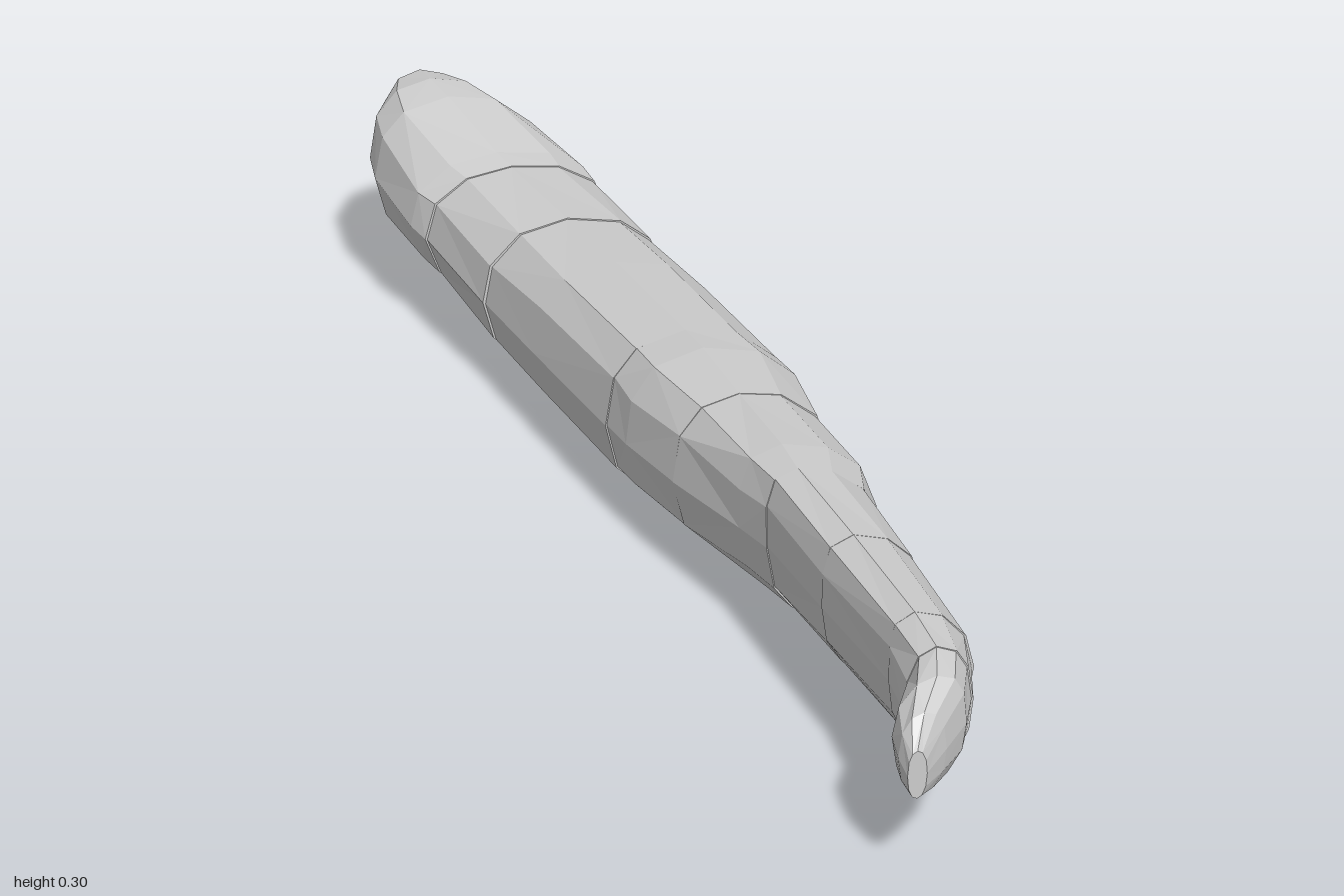
import * as THREE from 'three';

const SIDES = 12;

// Cross-sections: [z, xMin, xMax, yMin, yMax, x of the top ridge]
const segments = {
  roundedEnd: [
    [-1.0, -0.1, -0.02, 0.13, 0.285, -0.06],
    [-0.975, -0.135, 0.005, 0.1, 0.3, -0.07],
    [-0.92, -0.168, 0.05, 0.075, 0.306, -0.07],
    [-0.86, -0.178, 0.085, 0.066, 0.298, -0.06],
    [-0.72, -0.165, 0.13, 0.06, 0.258, -0.03],
    [-0.68, -0.155, 0.132, 0.055, 0.25, -0.02]],
  shortRearSegment: [
    [-0.68, -0.154, 0.132, 0.052, 0.25, -0.02],
    [-0.48, -0.13, 0.147, 0.018, 0.245, 0]],
  longMiddleSegment: [
    [-0.48, -0.128, 0.147, 0.013, 0.245, 0],
    [-0.3, -0.113, 0.162, 0.006, 0.25, 0.01],
    [-0.04, -0.095, 0.172, 0.004, 0.256, 0.02]],
  middleSegment: [
    [-0.04, -0.095, 0.174, 0.004, 0.258, 0.02],
    [0.03, -0.09, 0.174, 0.008, 0.26, 0.02],
    [0.17, -0.073, 0.152, 0.026, 0.255, 0.02]],
  frontMiddleSegment: [
    [0.17, -0.075, 0.15, 0.024, 0.256, 0.02],
    [0.34, -0.043, 0.148, 0.038, 0.26, 0.015],
    [0.41, -0.032, 0.125, 0.046, 0.258, 0.01]],
  frontSegment: [
    [0.41, -0.032, 0.124, 0.048, 0.26, 0.01],
    [0.6, -0.03, 0.106, 0.064, 0.256, 0.01]],
  narrowSegment: [
    [0.6, -0.032, 0.104, 0.066, 0.257, 0.01],
    [0.81, -0.026, 0.085, 0.076, 0.255, 0.005]],
  neckSegment: [
    [0.81, -0.028, 0.082, 0.078, 0.256, 0.005],
    [0.89, -0.04, 0.05, 0.088, 0.25, 0]],
  hookedTip: [
    [0.89, -0.04, 0.048, 0.09, 0.25, 0],
    [0.94, -0.076, 0.02, 0.098, 0.24, -0.02],
    [0.975, -0.082, -0.02, 0.106, 0.215, -0.05],
    [1.0, -0.08, -0.055, 0.116, 0.18, -0.068]],
};

const soften = (v) => Math.sign(v) * Math.abs(v) ** 0.9;

// One ring of points, leaning towards its ridge and slightly uneven
function ring([z, x0, x1, y0, y1, ridge], scale) {
  const cx = (x0 + x1) / 2, cy = (y0 + y1) / 2;
  return Array.from({ length: SIDES }, (_, j) => {
    const a = (j / SIDES) * Math.PI * 2;
    const wobble = j % 3 ? 0.05 * Math.sin(j * 5.1 + z * 23) : 0;
    const c = soften(Math.cos(a + wobble)), s = soften(Math.sin(a + wobble));
    const lean = (ridge - cx) * Math.max(0, s) ** 2;
    return [cx + scale * (c * (x1 - x0) / 2 + lean), cy + scale * s * (y1 - y0) / 2, z];
  });
}

// Closed faceted segment; the start is a little narrower to leave a groove
function segmentGeometry(sections, first) {
  const rings = sections.map((s, i) => ring(s, i === 0 && !first ? 0.985 : 1));
  const pos = [];
  const tri = (...points) => points.forEach((p) => pos.push(...p));
  for (let i = 0; i < rings.length - 1; i++) {
    for (let j = 0; j < SIDES; j++) {
      const k = (j + 1) % SIDES;
      const a = rings[i][j], b = rings[i][k], c = rings[i + 1][k], d = rings[i + 1][j];
      if ((i + j) % 2) { tri(a, b, c); tri(a, c, d); }
      else { tri(a, b, d); tri(b, c, d); }
    }
  }
  // End caps
  const back = rings[0], front = rings[rings.length - 1];
  for (let j = 1; j < SIDES - 1; j++) {
    tri(back[0], back[j + 1], back[j]);
    tri(front[0], front[j], front[j + 1]);
  }
  const geometry = new THREE.BufferGeometry();
  geometry.setAttribute('position', new THREE.Float32BufferAttribute(pos, 3));
  geometry.computeVertexNormals();
  return geometry;
}

export function createModel() {
  const group = new THREE.Group();
  group.name = 'segmentedBody';
  const material = new THREE.MeshStandardMaterial({ color: 0xcccccc, flatShading: true });
  Object.entries(segments).forEach(([name, sections], i) => {
    const mesh = new THREE.Mesh(segmentGeometry(sections, i === 0), material);
    mesh.name = name;
    group.add(mesh);
  });
  return group;
}
